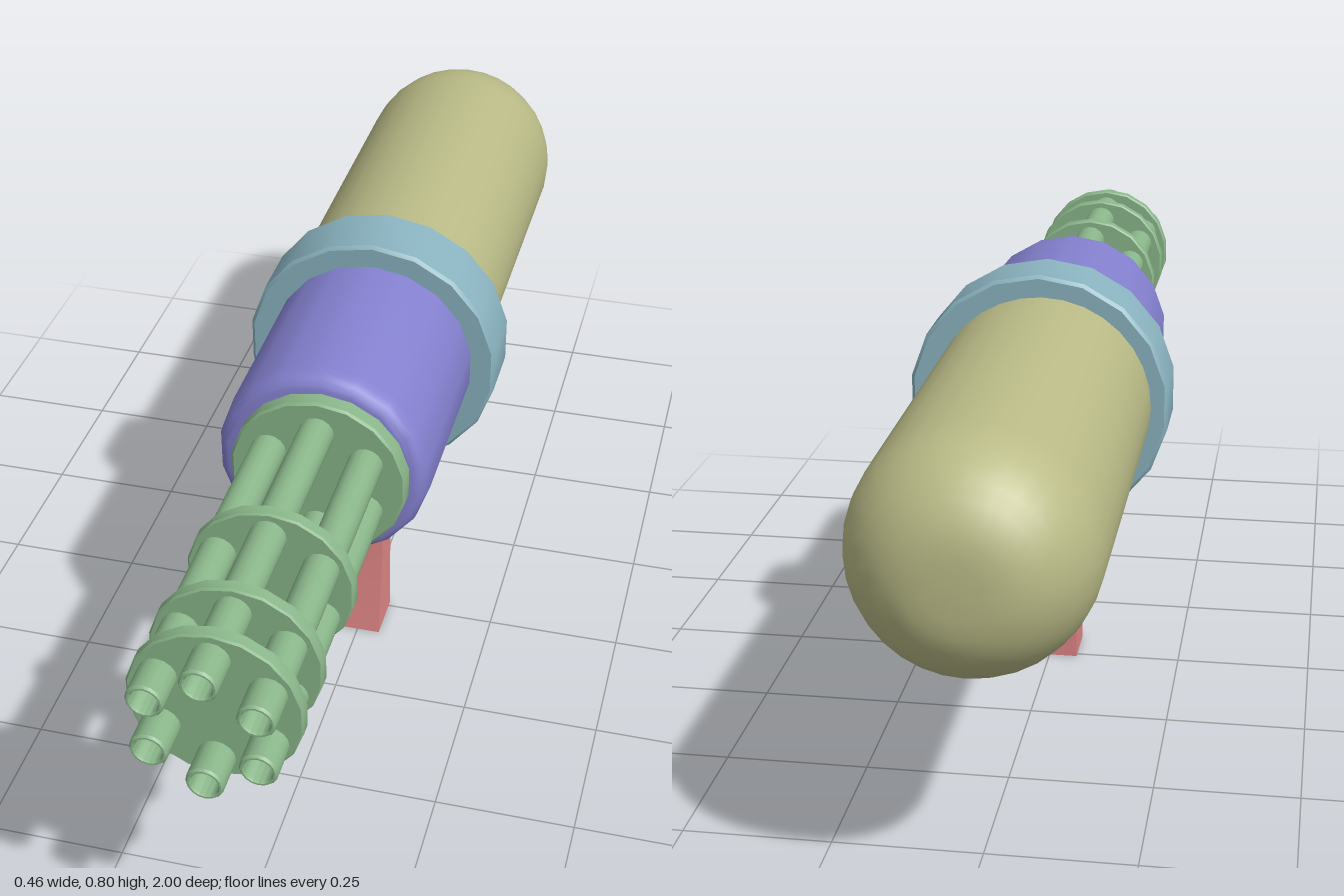
import * as THREE from 'three';
import { toCreasedNormals } from 'three/addons/utils/BufferGeometryUtils.js';

const GREEN = 0x8ab68a, PURPLE = 0x8480cf, BLUE = 0x8ab3c0, OLIVE = 0xb9ba86, RED = 0xdf8585;

export function createModel() {
  const model = new THREE.Group();
  const materials = {};
  const add = (name, geometry, color, x = 0, y = 0) => {
    materials[color] ??= new THREE.MeshStandardMaterial({ color });
    const mesh = new THREE.Mesh(geometry, materials[color]);
    mesh.name = name;
    mesh.position.set(x, y, 0);
    model.add(mesh);
    return mesh;
  };

  // Turned part along z; profile is [radius, z] from back to front
  const turned = (profile, sides, crease = 0.6) => {
    const g = new THREE.LatheGeometry(profile.map(([r, z]) => new THREE.Vector2(r, z)), sides);
    return toCreasedNormals(g.rotateX(Math.PI / 2), crease);
  };
  // Closed disc with a small bevel
  const disc = (r, z0, z1, sides, bevel) => turned([
    [0, z0], [r - bevel, z0], [r, z0 + bevel], [r, z1 - bevel], [r - bevel, z1], [0, z1],
  ], sides);

  // Rear tank with a rounded end
  const tank = [[0, -1]];
  for (let i = 0; i <= 8; i++) {
    const a = (i / 8) * Math.PI / 2;
    tank.push([0.045 + 0.15 * Math.sin(a), -0.825 - 0.175 * Math.cos(a)]);
  }
  tank.push([0.195, -0.1], [0, -0.1]);
  add('tank', turned(tank, 32), OLIVE, -0.008, 0.567);

  // Collar between tank and body
  add('collar', disc(0.234, -0.16, -0.035, 18, 0.006), BLUE, -0.002, 0.567);

  // Body with a rounded front shoulder
  const body = [[0, -0.08], [0.187, -0.08]];
  for (let i = 0; i <= 4; i++) {
    const a = (i / 4) * Math.PI / 2;
    body.push([0.164 + 0.023 * Math.cos(a), 0.295 + 0.04 * Math.sin(a)]);
  }
  body.push([0, 0.335]);
  add('body', turned(body, 18), PURPLE, 0, 0.573);

  // Barrel cluster: base plate, three spacer discs and six hollow barrels
  const cx = 0.004, cy = 0.577;
  add('barrelBase', disc(0.154, 0.32, 0.365, 18, 0.004), GREEN, cx, cy);
  for (const z of [0.635, 0.82, 0.925]) {
    add('spacerDisc', disc(0.138, z - 0.0125, z + 0.0125, 18, 0.003), GREEN, cx, cy);
  }
  const barrel = turned([
    [0.03, 0.34], [0.03, 0.996], [0.027, 1], [0.024, 1], [0.022, 0.996], [0.022, 0.93],
  ], 16);
  for (let i = 0; i < 6; i++) {
    const a = Math.PI / 2 + (i * Math.PI) / 3;
    add('barrel', barrel, GREEN, cx + 0.097 * Math.cos(a), cy - 0.002 + 0.097 * Math.sin(a));
  }

  // Side outline in (z, y), extruded across x
  const slab = (shape, width, bevel) => {
    const g = new THREE.ExtrudeGeometry(shape, {
      depth: width - 2 * bevel, bevelEnabled: bevel > 0,
      bevelSize: bevel, bevelThickness: bevel, bevelOffset: -bevel, bevelSegments: 1,
    });
    return toCreasedNormals(g.translate(0, 0, bevel - width / 2).rotateY(-Math.PI / 2)
      .applyMatrix4(new THREE.Matrix4()), 0.5);
  };

  // Grip
  const grip = new THREE.Shape([
    [-0.01, 0], [0.083, 0], [0.055, 0.18], [0.06, 0.43], [-0.01, 0.43],
  ].map(([z, y]) => new THREE.Vector2(z, y)));
  add('grip', slab(grip, 0.096, 0), RED, -0.005, 0);

  // Curved trigger guard strip
  const arc = new THREE.CubicBezierCurve(
    new THREE.Vector2(0.045, 0.335), new THREE.Vector2(0.13, 0.338),
    new THREE.Vector2(0.24, 0.355), new THREE.Vector2(0.3, 0.41));
  const lower = [], upper = [];
  for (let i = 0; i <= 12; i++) {
    const p = arc.getPoint(i / 12), t = arc.getTangent(i / 12);
    const n = new THREE.Vector2(-t.y, t.x).multiplyScalar(0.005);
    lower.push(p.clone().sub(n));
    upper.unshift(p.clone().add(n));
  }
  add('triggerGuard', slab(new THREE.Shape([...lower, ...upper]), 0.043, 0.003), RED, -0.002, 0);

  return model;
}
